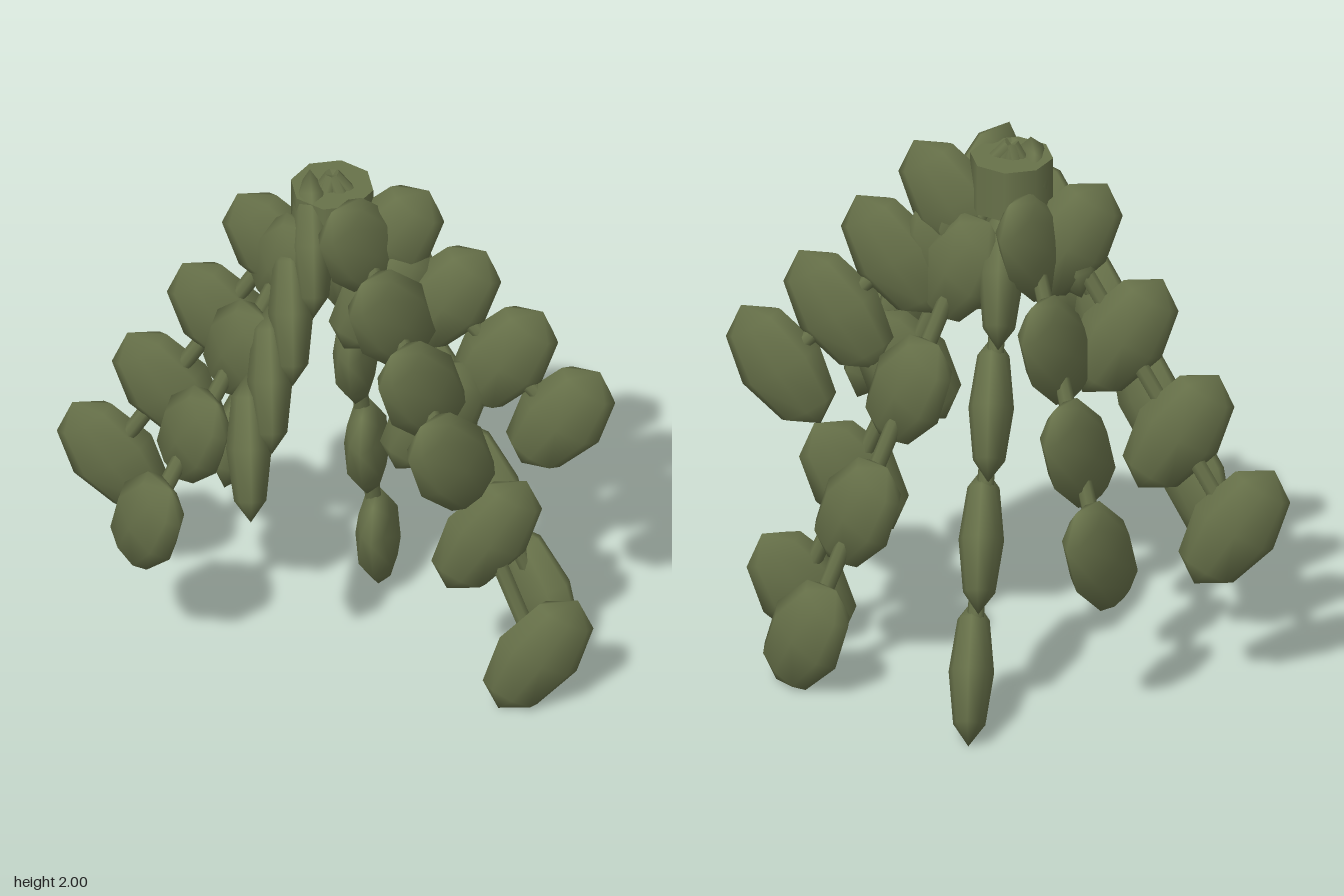
import * as THREE from 'three';

export function createModel() {
  const model = new THREE.Group();
  model.name = 'hangingPlant';
  const green = new THREE.MeshStandardMaterial({ color: 0x68724a });
  green.name = 'olive green';

  // crown that holds the strands
  const hub = new THREE.Mesh(new THREE.CylinderGeometry(0.14, 0.14, 0.18, 8), green);
  hub.name = 'crown';
  hub.position.set(-0.008, 1.85, 0.005);
  model.add(hub);

  // flattened leaf, shared by every strand
  const leafGeometry = new THREE.SphereGeometry(1, 8, 4);
  leafGeometry.scale(0.153, 0.248, 0.076);

  const top = new THREE.Vector3(-0.006, 1.98, 0.006);
  const drops = [0.88, 1.325, 1.77]; // short, middle and long strands
  const leavesPerStrand = 4;

  for (let i = 0; i < 9; i++) {
    const angle = THREE.MathUtils.degToRad(i * 137.5);
    const strand = new THREE.Group();
    strand.name = 'strand' + (i + 1);
    const end = new THREE.Vector3(
      Math.cos(angle) * 0.775, -drops[i % 3], Math.sin(angle) * 0.4).add(top);

    // straight stem from the crown to the last leaf
    const path = new THREE.LineCurve3(top, end);
    const stem = new THREE.Mesh(
      new THREE.CylinderGeometry(0.028, 0.028, path.getLength(), 8), green);
    stem.name = 'stem';
    stem.position.copy(path.getPoint(0.5));
    stem.quaternion.setFromUnitVectors(
      new THREE.Vector3(0, 1, 0), top.clone().sub(end).normalize());
    strand.add(stem);

    // leaves at even steps along the stem, leaning the other way on every second strand
    const lean = i % 2 ? 0.57 : -0.57;
    for (let j = 1; j <= leavesPerStrand; j++) {
      const leaf = new THREE.Mesh(leafGeometry, green);
      leaf.name = 'leaf' + j;
      leaf.position.copy(path.getPoint(j / leavesPerStrand));
      leaf.rotation.set(0, angle, lean);
      strand.add(leaf);
    }
    model.add(strand);
  }
  return model;
}
